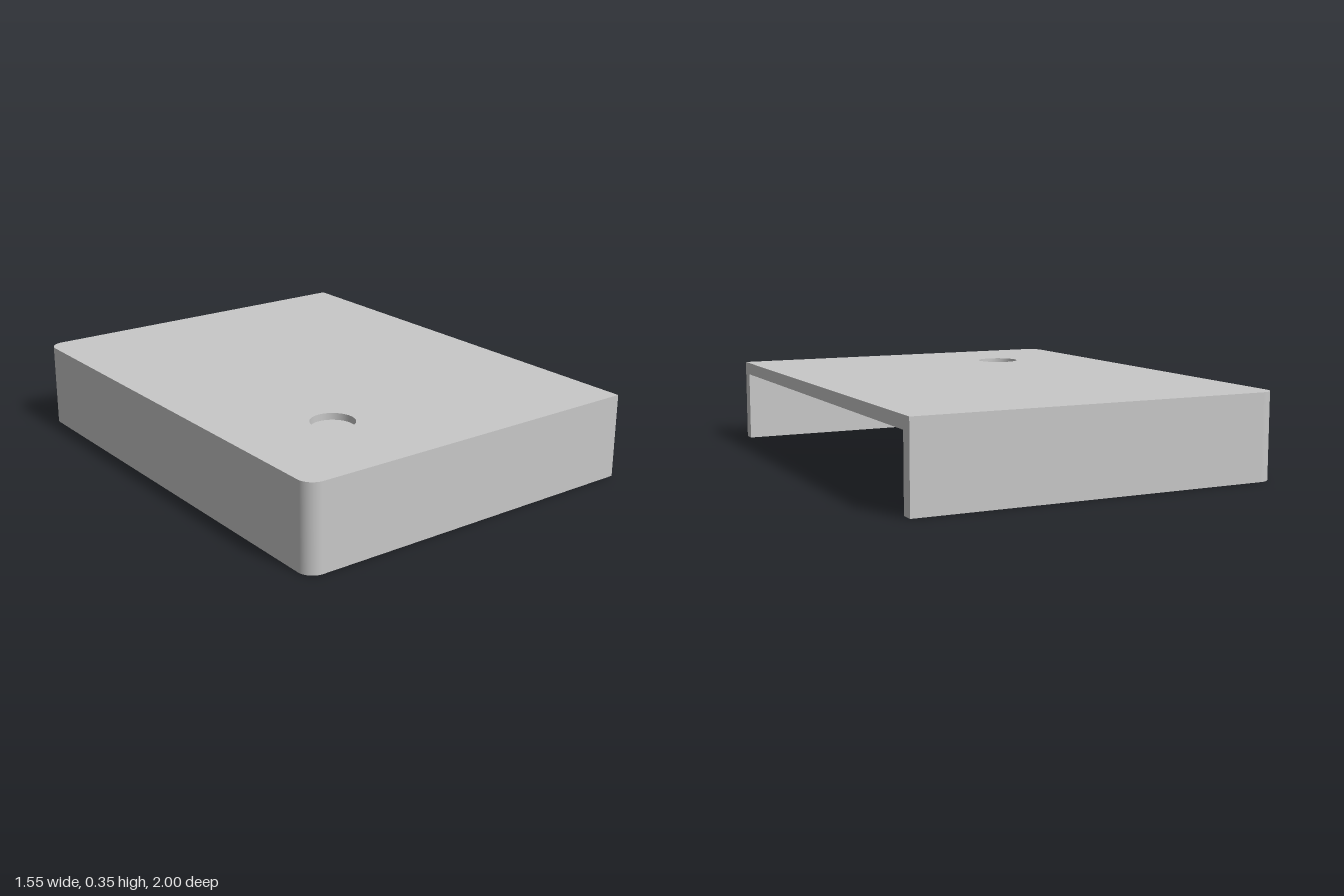
import * as THREE from 'three';
import { mergeGeometries } from 'three/addons/utils/BufferGeometryUtils.js';

const X = 0.777, Z = 1, H = 0.355;          // outer half width, half length, height
const WALL = 0.055, CEILING = 0.302;        // wall thickness, underside of the lid
const HOLE = { x: -0.335, s: -0.553, r: 0.09, depth: 0.028 };
const SLOT = { x: 0.715, half: 0.01, depth: 0.05 };

// Plan points are (x, s) with s = -z, counterclockwise from above.
// U-shaped run around the closed side, open at +x
function uRun(left, half, r) {
  const p = new THREE.Path();
  p.moveTo(X, half);
  p.lineTo(left + r, half);
  p.absarc(left + r, half - r, r, Math.PI / 2, Math.PI);
  p.absarc(left + r, -half + r, r, Math.PI, Math.PI * 1.5);
  p.lineTo(X, -half);
  return p.getPoints(12).filter((q, i, all) => !i || q.distanceTo(all[i - 1]) > 1e-5);
}

function circle(x, s, r, n = 48) {
  return Array.from({ length: n + 1 }, (_, i) => {
    const a = (i % n) / n * Math.PI * 2;
    return new THREE.Vector2(x + r * Math.cos(a), s + r * Math.sin(a));
  });
}

function slotLoop(side) {
  const s = side * (Z - WALL / 2), { x, half } = SLOT;
  return [[-x, s - half], [x, s - half], [x, s + half], [-x, s + half], [-x, s - half]]
    .map(([a, b]) => new THREE.Vector2(a, b));
}

// Flat horizontal face; downward faces mirror s, so holes must come in pairs
function face(points, y, up, holes = []) {
  const shape = new THREE.Shape(points);
  shape.holes = holes.map(h => new THREE.Path(h));
  return new THREE.ShapeGeometry(shape)
    .rotateX(up ? -Math.PI / 2 : Math.PI / 2).translate(0, y, 0);
}

// Vertical wall along a run of plan points, facing to the right of the run.
// Normals blend by segment length across gentle bends and stay sharp at corners.
function band(points, y0, y1) {
  const n = points.length - 1, pos = [], nor = [];
  const dirs = points.slice(1).map((q, i) => q.clone().sub(points[i]));
  const normal = (i, j) => {
    const d = dirs[i].clone(), e = dirs[(j + n) % n];
    if (d.angleTo(e) < 0.5) d.add(e);
    d.normalize();
    return [d.y, 0, d.x];
  };
  for (let i = 0; i < n; i++) {
    const p = points[i], q = points[i + 1];
    const a = [p.x, y0, -p.y], b = [q.x, y0, -q.y], c = [q.x, y1, -q.y], d = [p.x, y1, -p.y];
    const np = normal(i, i - 1), nq = normal(i, i + 1);
    pos.push(...a, ...b, ...c, ...a, ...c, ...d);
    nor.push(...np, ...nq, ...nq, ...np, ...nq, ...np);
  }
  const g = new THREE.BufferGeometry();
  g.setAttribute('position', new THREE.Float32BufferAttribute(pos, 3));
  g.setAttribute('normal', new THREE.Float32BufferAttribute(nor, 3));
  return g;
}

export function createModel() {
  const group = new THREE.Group();
  group.name = 'cover';
  const grey = new THREE.MeshStandardMaterial({ color: 0xc8c8c8 });
  grey.name = 'grey';
  const add = (name, ...geometries) => {
    const parts = geometries.map(g => {
      const flat = g.index ? g.toNonIndexed() : g;
      flat.deleteAttribute('uv');
      return flat;
    });
    const mesh = new THREE.Mesh(mergeGeometries(parts), grey);
    mesh.name = name;
    group.add(mesh);
  };

  const outer = uRun(-X, Z, 0.065);
  const inner = uRun(-X + WALL, Z - WALL, 0.01);
  const innerBack = [...inner].reverse();
  const hole = circle(HOLE.x, HOLE.s, HOLE.r);
  const slots = [slotLoop(1), slotLoop(-1)];

  // Lid and its shallow round recess
  add('lidTop', face(outer, H, true, [hole]));
  add('recess', face(hole, H - HOLE.depth, true),
    band([...hole].reverse(), H - HOLE.depth, H));
  add('lidUnderside', face(inner, CEILING, false));

  // Walls with rounded corners on the closed side
  add('outerWall', band(outer, 0, H));
  add('innerWall', band(innerBack, 0, CEILING));
  add('bottomRim', face([...outer, ...innerBack], 0, false, slots));

  // Narrow grooves under the front and back walls
  slots.forEach((loop, i) => add(i ? 'frontGroove' : 'backGroove',
    band([...loop].reverse(), 0, SLOT.depth)));
  add('grooveRoofs', ...slots.map(loop => face(loop, SLOT.depth, false)));

  // Cut edge around the open side
  const zi = Z - WALL;
  const edge = new THREE.Shape([[-Z, 0], [-zi, 0], [-zi, CEILING], [zi, CEILING],
    [zi, 0], [Z, 0], [Z, H], [-Z, H]].map(([a, b]) => new THREE.Vector2(a, b)));
  add('openEdge', new THREE.ShapeGeometry(edge).rotateY(Math.PI / 2).translate(X, 0, 0));

  return group;
}
